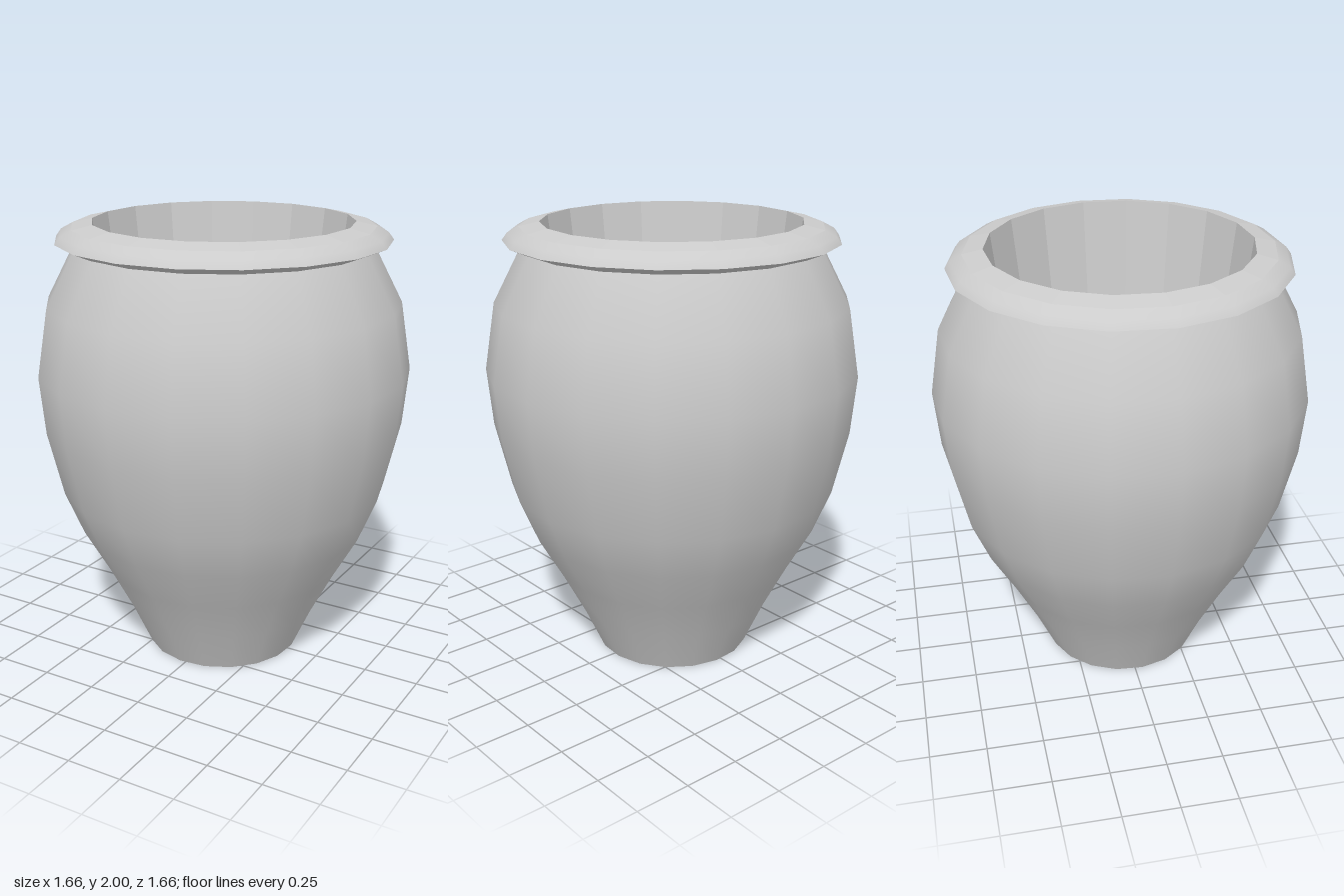
import * as THREE from 'three';

const SIDES = 18;
const TWIST = THREE.MathUtils.degToRad(-4.4); // turns the polygon off the axes

const smooth = new THREE.MeshStandardMaterial({ color: 0xcccccc });
const faceted = new THREE.MeshStandardMaterial({ color: 0xcccccc, flatShading: true });

// Revolve a [radius, height] profile; upward profiles face out, downward ones in.
function revolve(name, profile, material) {
  const points = profile.map(([r, y]) => new THREE.Vector2(r, y));
  const mesh = new THREE.Mesh(new THREE.LatheGeometry(points, SIDES, TWIST), material);
  mesh.name = name;
  return mesh;
}

export function createModel() {
  const pot = new THREE.Group();
  pot.name = 'pot';

  const base = [0.355, 0];
  const neck = [0.66, 1.89];
  const lipEdge = [0.738, 1.922];
  const rimOuter = [0.665, 1.98];
  const rimInner = [0.575, 2];
  const floor = [0.372, 0.3];

  pot.add(
    // Flat underside
    revolve('base', [[0, 0], base], faceted),
    // Bulging outer wall
    revolve('body', [
      base, [0.445, 0.2], [0.548, 0.4], [0.66, 0.6], [0.742, 0.8],
      [0.81, 1.09], [0.834, 1.35], [0.785, 1.65], neck,
    ], smooth),
    // Flared lip: underside, rounded upper side, then flat rim
    revolve('lipUnderside', [neck, lipEdge], smooth),
    revolve('lip', [lipEdge, [0.715, 1.953], rimOuter], smooth),
    revolve('rim', [rimOuter, rimInner], faceted),
    // Tapered hollow
    revolve('innerWall', [rimInner, floor], faceted),
    revolve('floor', [floor, [0, floor[1]]], faceted),
  );
  return pot;
}
